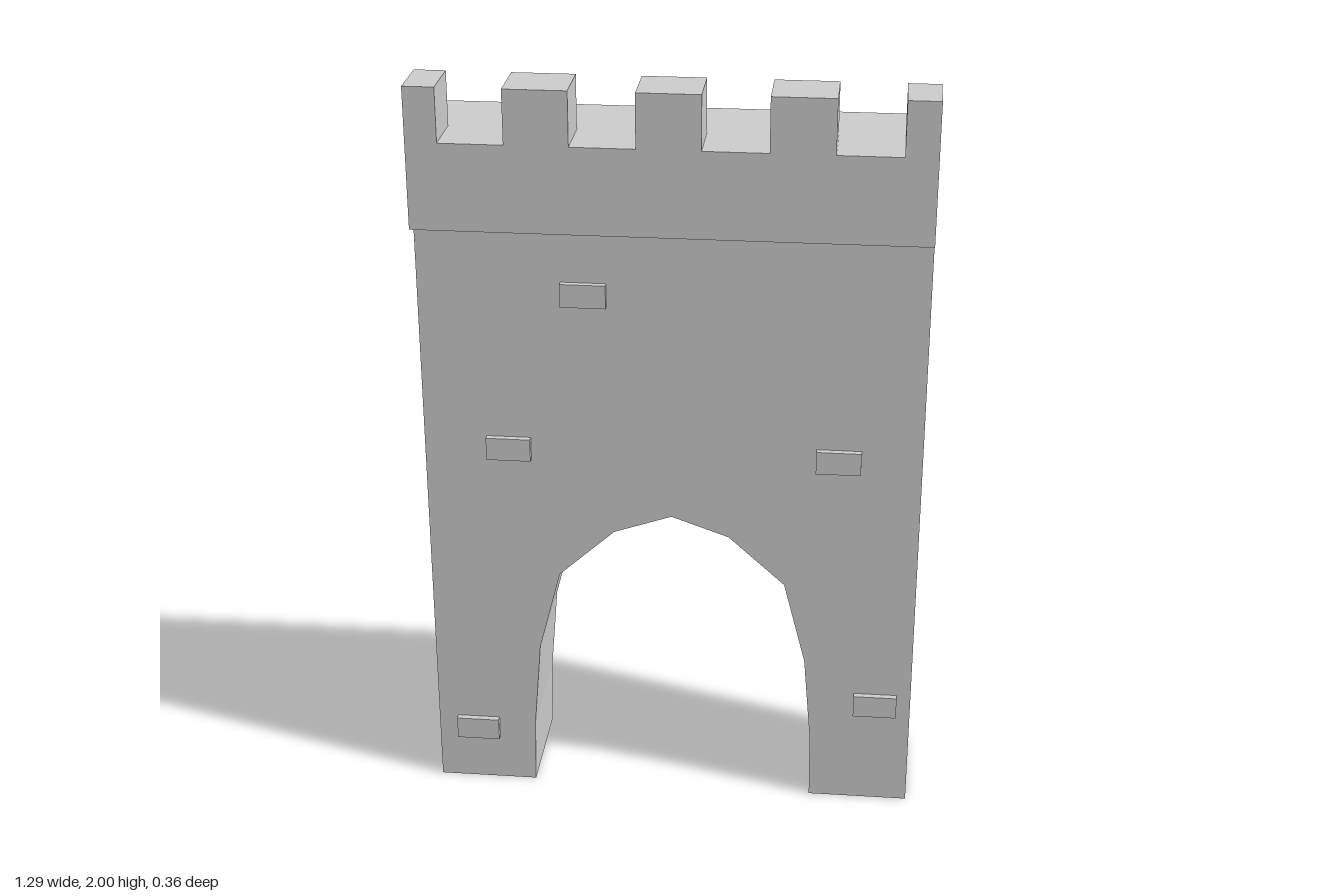
import * as THREE from 'three';

const material = new THREE.MeshStandardMaterial({ color: 0xcccccc, flatShading: true });

// Box given by its minimum and maximum corners
function block(name, [x0, y0, z0], [x1, y1, z1]) {
  const mesh = new THREE.Mesh(new THREE.BoxGeometry(x1 - x0, y1 - y0, z1 - z0), material);
  mesh.name = name;
  mesh.position.set((x0 + x1) / 2, (y0 + y1) / 2, (z0 + z1) / 2);
  return mesh;
}

export function createModel() {
  const group = new THREE.Group();
  group.name = 'castleGate';

  const left = -0.65, right = 0.645;
  const back = -0.18, wallFront = 0.13, front = 0.18;
  const ledge = 1.635, walkway = 1.86, top = 2;

  // Wall with a faceted archway open at the ground
  const outline = [
    [left, 0], [-0.385, 0], [-0.382, 0.18], [-0.362, 0.425], [-0.303, 0.655], [-0.155, 0.79],
    [-0.003, 0.843], [0.148, 0.79], [0.297, 0.655], [0.356, 0.425], [0.377, 0.18], [0.379, 0],
    [right, 0], [right, walkway], [left, walkway],
  ];
  const wallShape = new THREE.Shape(outline.map(([x, y]) => new THREE.Vector2(x, y)));
  const wallGeometry = new THREE.ExtrudeGeometry(wallShape, { depth: wallFront - back, bevelEnabled: false });
  wallGeometry.translate(0, 0, back);
  const wall = new THREE.Mesh(wallGeometry, material);
  wall.name = 'wall';
  group.add(wall);

  // Parapet overhanging the front
  group.add(block('parapet', [left, ledge, wallFront], [right, walkway, front]));

  // Merlons, with half-width ones at the corners
  const merlons = [[left, -0.57], [-0.407, -0.247], [-0.084, 0.076], [0.24, 0.4], [0.563, right]];
  for (const [x0, x1] of merlons) {
    group.add(block('merlon', [x0, walkway, 0.033], [x1, top, front]));
  }

  // Raised stones scattered over the front
  const stones = [[-0.225, 1.46], [-0.428, 1.025], [0.43, 1.025], [0.55, 0.3], [-0.54, 0.163]];
  for (const [x, y] of stones) {
    group.add(block('stone', [x - 0.058, y - 0.031, wallFront], [x + 0.058, y + 0.031, 0.147]));
  }

  return group;
}
